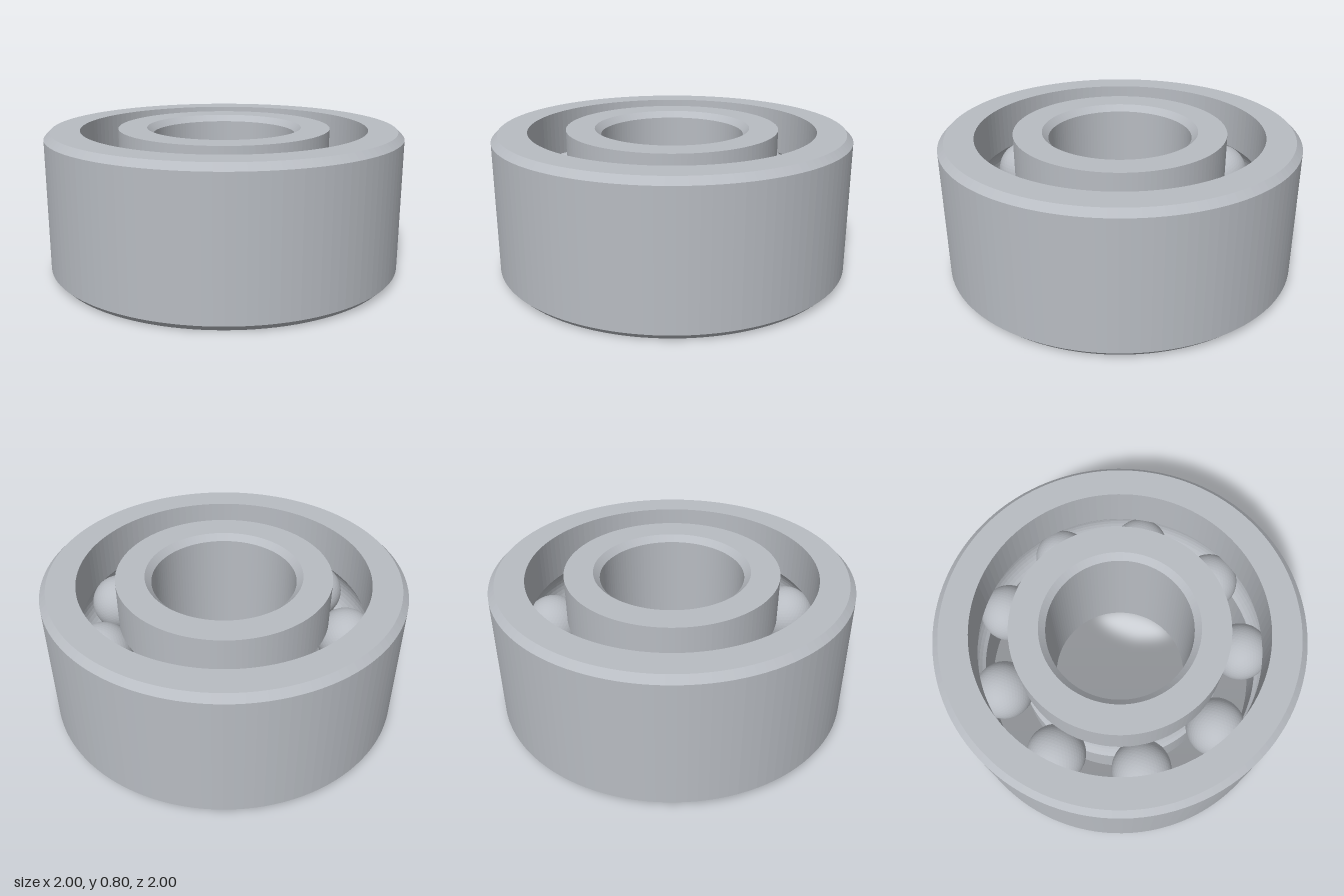
import * as THREE from 'three';

const HEIGHT = 0.8;
const MID = HEIGHT / 2;
const CHAMFER = 0.035;
const PITCH = 0.7;    // radius of the circle of ball centres
const BALL = 0.165;
const GROOVE = 0.167;
const BALL_COUNT = 9;

// Race groove as points of a circle arc, cut into a wall of the given radius
function groove(wall, fromTop) {
  const depth = wall - PITCH;
  const half = Math.asin(Math.abs(depth) / GROOVE);
  const span = Math.PI / 2 - half;
  const points = [];
  for (let i = 0; i <= 12; i++) {
    const a = (fromTop ? 1 : -1) * span * (1 - i / 6);
    points.push(new THREE.Vector2(PITCH + Math.sign(depth) * GROOVE * Math.cos(a), MID + GROOVE * Math.sin(a)));
  }
  return points;
}

// Revolve a closed profile, with crisp edges
function ring(points, material, name) {
  const geometry = new THREE.LatheGeometry([...points, points[0].clone()], 120).toNonIndexed();
  geometry.computeVertexNormals();
  const mesh = new THREE.Mesh(geometry, material);
  mesh.name = name;
  return mesh;
}

export function createModel() {
  const group = new THREE.Group();
  group.name = 'ballBearing';
  const steel = new THREE.MeshStandardMaterial({ color: 0xb8bcc2 });
  steel.name = 'steel';
  const v = (x, y) => new THREE.Vector2(x, y);

  // Outer ring: chamfered outside, grooved inside
  const outerWall = 0.805;
  group.add(ring([
    v(outerWall, 0), v(1 - CHAMFER, 0), v(1, CHAMFER),
    v(1, HEIGHT - CHAMFER), v(1 - CHAMFER, HEIGHT), v(outerWall, HEIGHT),
    ...groove(outerWall, true),
  ], steel, 'outerRing'));

  // Inner ring: grooved outside, chamfered bore
  const innerWall = 0.595;
  const bore = 0.4;
  group.add(ring([
    v(bore + CHAMFER, 0), v(innerWall, 0),
    ...groove(innerWall, false),
    v(innerWall, HEIGHT), v(bore + CHAMFER, HEIGHT),
    v(bore, HEIGHT - CHAMFER), v(bore, CHAMFER),
  ], steel, 'innerRing'));

  // Balls spaced evenly in the race
  const ballGeometry = new THREE.IcosahedronGeometry(BALL, 9);
  ballGeometry.computeVertexNormals();
  const balls = new THREE.Group();
  balls.name = 'balls';
  for (let i = 0; i < BALL_COUNT; i++) {
    const a = (i / BALL_COUNT) * Math.PI * 2;
    const ball = new THREE.Mesh(ballGeometry, steel);
    ball.name = 'ball';
    ball.position.set(PITCH * Math.cos(a), MID, PITCH * Math.sin(a));
    balls.add(ball);
  }
  group.add(balls);
  return group;
}
